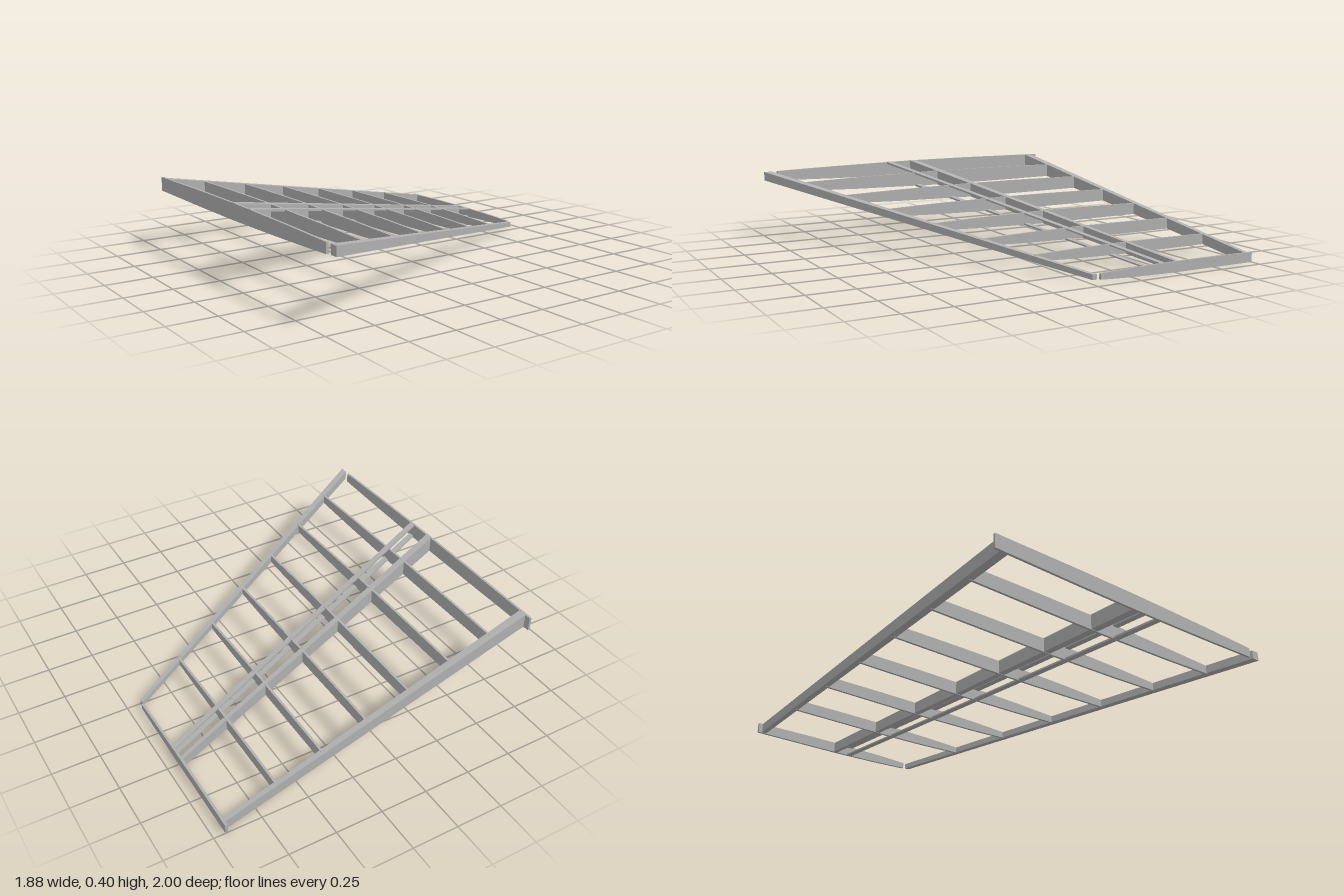
import * as THREE from 'three';

const { lerp } = THREE.MathUtils;
const ROOT_X = -0.945, TIP_X = 0.94;
const grey = new THREE.MeshStandardMaterial({ color: 0xb0b0b0 });
grey.name = 'plainGrey';

// Height of the frame at chord fractions, from rear edge (0) to leading edge (1)
const FRACTIONS = [0, 0.25, 0.5, 0.8, 1];
const TOP = { root: [0.395, 0.401, 0.402, 0.394, 0.385], tip: [0.052, 0.055, 0.055, 0.05, 0.042] };
const BOTTOM = { root: [0.318, 0.315, 0.315, 0.324, 0.335], tip: [0, 0, 0, 0.006, 0.015] };

const span = (x) => (x - ROOT_X) / (TIP_X - ROOT_X);
const rearZ = (x) => lerp(-0.765, -0.968, span(x));
const frontZ = (x) => lerp(0.977, -0.025, span(x));

function surfaceY(table, x, f) {
  const c = THREE.MathUtils.clamp(f, 0, 1);
  let i = 0;
  while (i < FRACTIONS.length - 2 && c > FRACTIONS[i + 1]) i++;
  const k = (c - FRACTIONS[i]) / (FRACTIONS[i + 1] - FRACTIONS[i]);
  const at = (row) => lerp(row[i], row[i + 1], k);
  return lerp(at(table.root), at(table.tip), span(x));
}

// Straight tapered beam; each end is [x, zMin, zMax, yMin, yMax]
function beam(name, root, tip) {
  const geometry = new THREE.BoxGeometry(1, 1, 1);
  const p = geometry.attributes.position;
  for (let i = 0; i < p.count; i++) {
    const [x, z0, z1, y0, y1] = p.getX(i) < 0 ? root : tip;
    p.setXYZ(i, x, p.getY(i) < 0 ? y0 : y1, p.getZ(i) < 0 ? z0 : z1);
  }
  geometry.computeVertexNormals();
  const mesh = new THREE.Mesh(geometry, grey);
  mesh.name = name;
  return mesh;
}

// Thin upright rib with a gently curved top and bottom edge
function rib(name, x, zBack, zFront, thickness = 0.013) {
  const chord = frontZ(x) - rearZ(x);
  const top = [], bottom = [];
  for (let i = 0; i <= 10; i++) {
    const z = lerp(zBack, zFront, i / 10);
    const f = (z - rearZ(x)) / chord;
    top.push(new THREE.Vector2(-z, surfaceY(TOP, x, f)));
    bottom.push(new THREE.Vector2(-z, surfaceY(BOTTOM, x, f)));
  }
  const shape = new THREE.Shape([...bottom, ...top.reverse()]);
  const geometry = new THREE.ExtrudeGeometry(shape, { depth: thickness, bevelEnabled: false });
  geometry.rotateY(Math.PI / 2);
  geometry.translate(x - thickness / 2, 0, 0);
  const mesh = new THREE.Mesh(geometry, grey);
  mesh.name = name;
  return mesh;
}

export function createModel() {
  const group = new THREE.Group();
  group.name = 'wingFrame';

  // Full-height spars along the leading edge, middle and rear
  group.add(
    beam('leadingEdgeSpar', [-0.94, 0.955, 1, 0.335, 0.384], [0.93, -0.04, -0.015, 0.015, 0.042]),
    beam('mainSpar', [-0.94, 0.04, 0.085, 0.316, 0.402], [0.935, -0.53, -0.508, 0.001, 0.055]),
    beam('rearSpar', [-0.94, -0.79, -0.743, 0.318, 0.395], [0.935, -0.98, -0.956, 0.002, 0.052])
  );

  // Flat upper and lower strips of the open second spar
  group.add(
    beam('upperSparStrip', [-0.94, 0.205, 0.24, 0.39, 0.401], [0.935, -0.445, -0.416, 0.047, 0.054]),
    beam('lowerSparStrip', [-0.94, 0.205, 0.24, 0.316, 0.327], [0.935, -0.445, -0.416, 0.001, 0.008])
  );

  // End ribs overhang the rear spar and stop short of the leading edge
  group.add(rib('rootRib', -0.938, -0.825, 0.925), rib('tipRib', 0.933, -1, -0.055));

  // Inner ribs run from the rear spar to the leading edge
  [-0.705, -0.437, -0.167, 0.1, 0.37, 0.637].forEach((x, i) => {
    group.add(rib('innerRib' + (i + 1), x, rearZ(x), frontZ(x) - 0.008));
  });

  return group;
}
